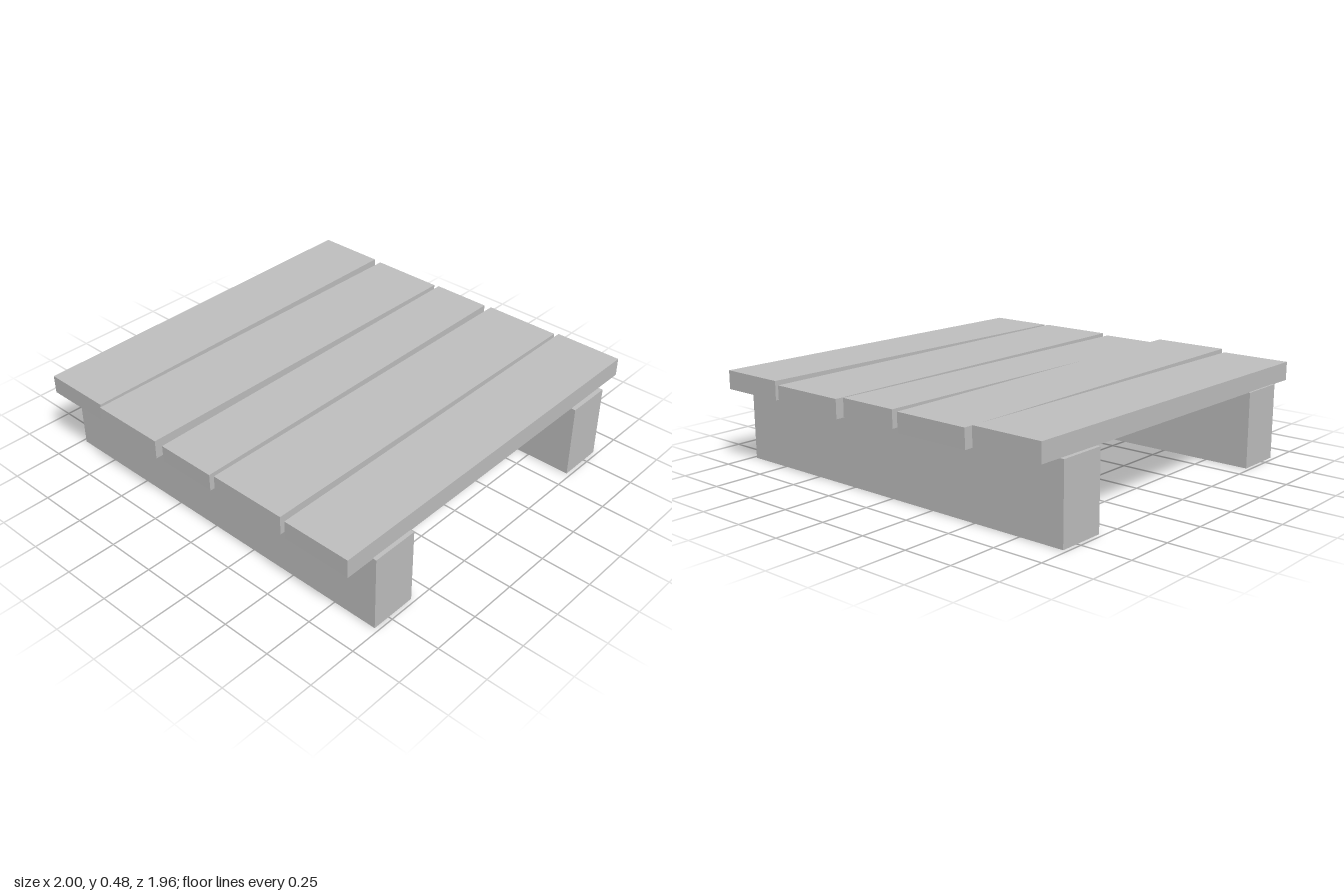
import * as THREE from 'three';

export function createModel() {
  const model = new THREE.Group();
  const wood = new THREE.MeshStandardMaterial({ color: 0xc0c0c0 });
  wood.name = 'plain grey wood';

  // Box spanning the given minimum and maximum on each axis
  function beam(name, [x0, x1], [y0, y1], [z0, z1]) {
    const mesh = new THREE.Mesh(new THREE.BoxGeometry(x1 - x0, y1 - y0, z1 - z0), wood);
    mesh.position.set((x0 + x1) / 2, (y0 + y1) / 2, (z0 + z1) / 2);
    mesh.name = name;
    model.add(mesh);
    return mesh;
  }

  // Two runners joined by a cross bar
  beam('leftRunner', [0.6, 0.84], [0, 0.38], [-0.98, 0.98]);
  beam('rightRunner', [-0.84, -0.6], [0, 0.38], [-0.98, 0.98]);
  beam('crossBar', [-0.6, 0.6], [0.1, 0.28], [-0.075, 0.075]);

  // Deck boards, each with its own length, width and slight tilt
  const boards = [
    { x: [-0.99, 0.99], y: [0.38, 0.473], z: [0.61, 0.96], tilt: 0.006 },
    { x: [-0.985, 0.997], y: [0.374, 0.467], z: [0.18, 0.58], tilt: -0.003 },
    { x: [-0.985, 0.98], y: [0.38, 0.466], z: [-0.16, 0.15], tilt: 0.005 },
    { x: [-1, 0.98], y: [0.378, 0.473], z: [-0.58, -0.19], tilt: -0.007 },
    { x: [-0.975, 0.968], y: [0.381, 0.474], z: [-0.97, -0.61], tilt: 0.005 },
  ];
  boards.forEach(({ x, y, z, tilt }, i) => {
    beam(`deckBoard${i + 1}`, x, y, z).rotation.z = tilt;
  });

  return model;
}
